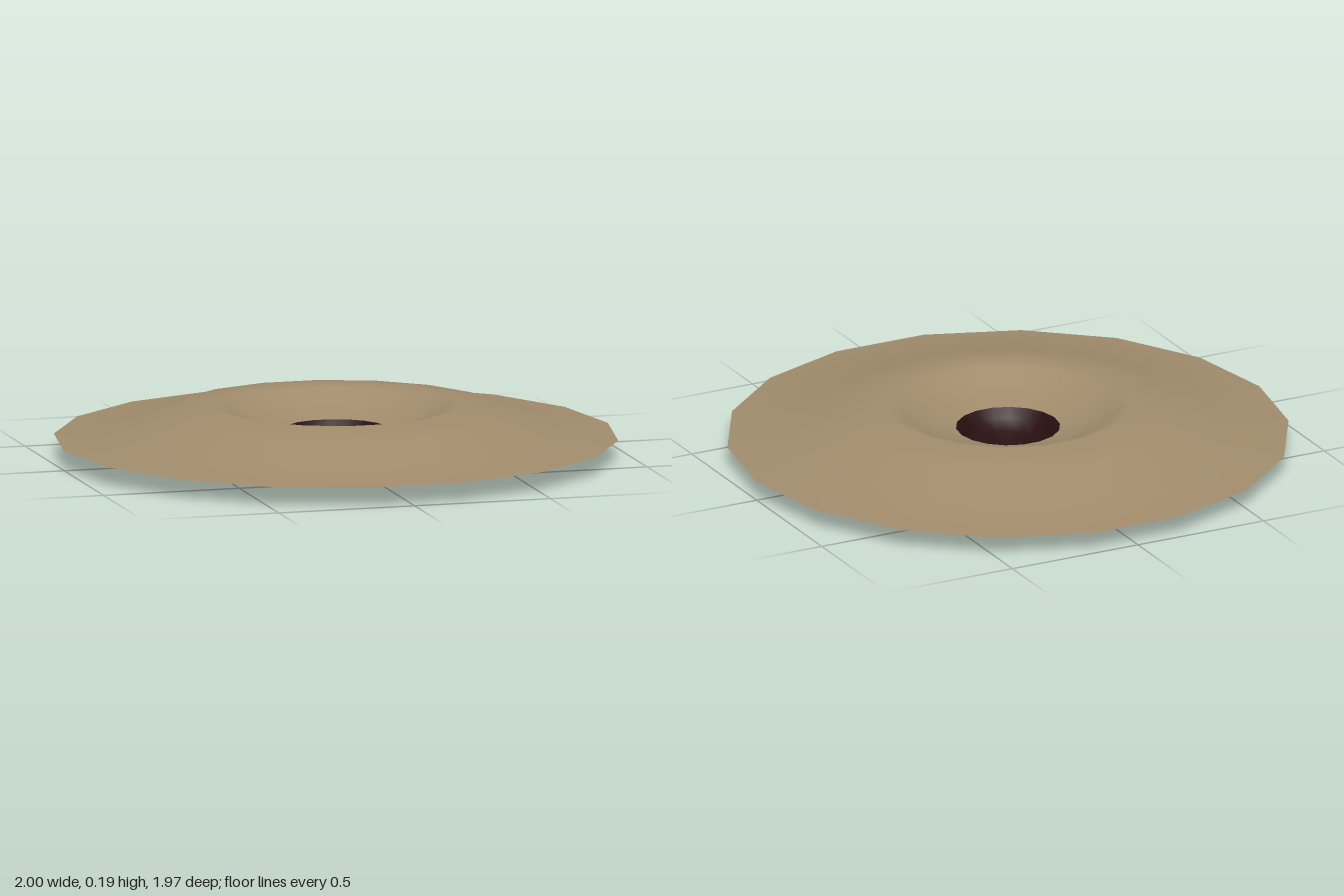
import * as THREE from 'three';

const SIDES = 18;

// Surface of revolution; profile runs from the outside inwards so normals face up
function revolve(name, profile, material) {
  const points = profile.map(([r, y]) => new THREE.Vector2(r, y));
  const geometry = new THREE.LatheGeometry(points, SIDES, Math.PI / 2);
  const mesh = new THREE.Mesh(geometry, material);
  mesh.name = name;
  return mesh;
}

export function createModel() {
  const sand = new THREE.MeshStandardMaterial({ color: 0xa08b6b, side: THREE.DoubleSide });
  sand.name = 'sand';
  const darkRed = new THREE.MeshStandardMaterial({ color: 0x280e10, side: THREE.DoubleSide });
  darkRed.name = 'dark red';

  const model = new THREE.Group();
  model.name = 'crater';

  // Mound: flat skirt, raised ring and funnel sloping into the pit
  model.add(revolve('mound', [
    [1, 0.07], [0.77, 0.097], [0.59, 0.167], [0.44, 0.19],
    [0.385, 0.178], [0.34, 0.145], [0.26, 0.118], [0.185, 0.1],
  ], sand));

  // Pit: dark bowl hanging below the mound
  model.add(revolve('pit', [
    [0.185, 0.1], [0.155, 0.07], [0.125, 0.03], [0, 0],
  ], darkRed));

  return model;
}
